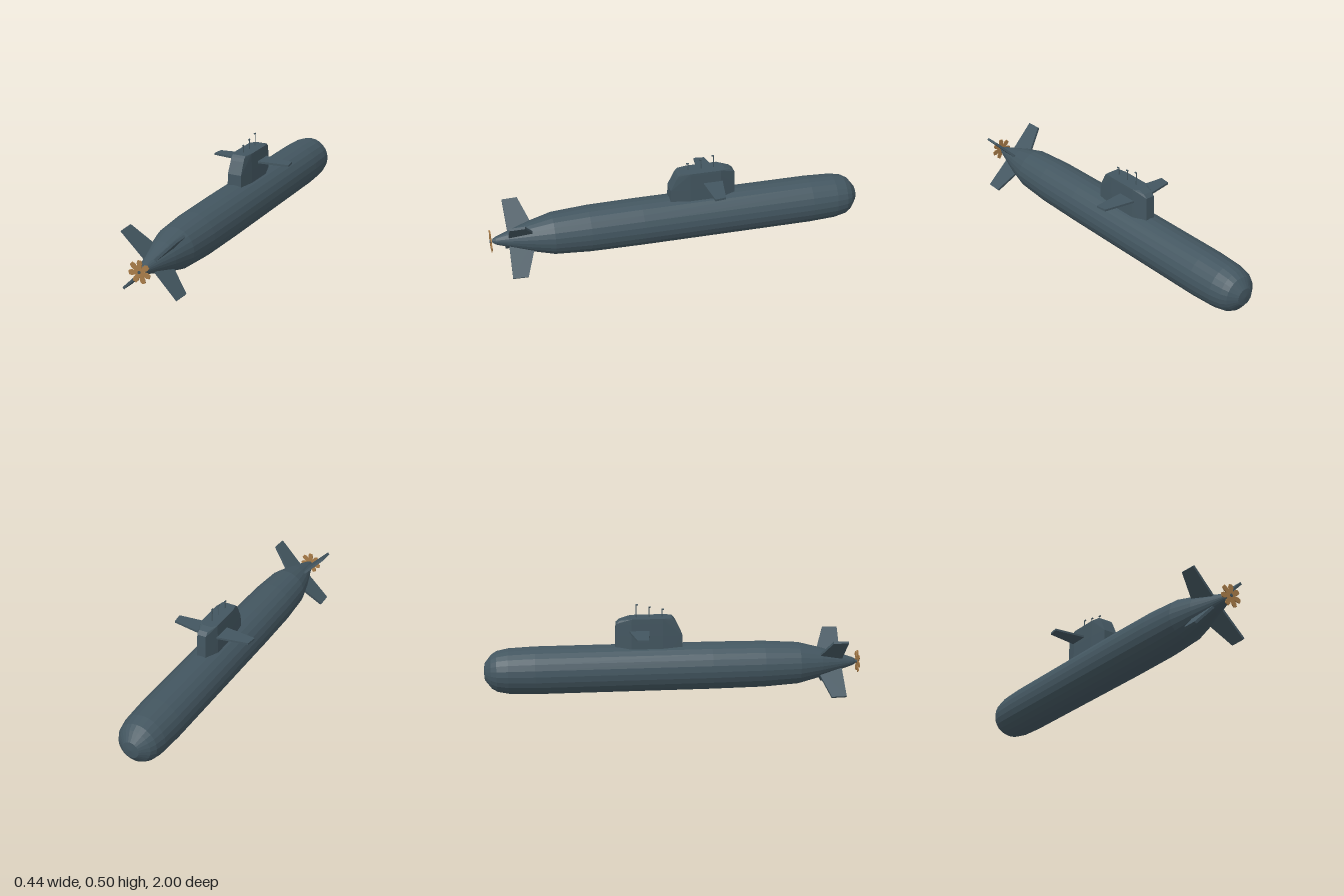
import * as THREE from 'three';
import { ConvexGeometry } from 'three/addons/geometries/ConvexGeometry.js';

const AXIS_Y = 0.157; // height of the hull's centre line

export function createModel() {
  const model = new THREE.Group();
  model.name = 'submarine';
  const steel = new THREE.MeshStandardMaterial({ name: 'blue grey steel', color: 0x435660, flatShading: true });
  const brass = new THREE.MeshStandardMaterial({ name: 'brass', color: 0xa87c48, flatShading: true });

  function add(name, geometry, material, x = 0, y = 0, z = 0, parent = model) {
    const mesh = new THREE.Mesh(geometry, material);
    mesh.name = name;
    mesh.position.set(x, y, z);
    parent.add(mesh);
    return mesh;
  }

  // Flat plate from [span, z] outline points, lying in the xz plane
  function plate(points, thickness) {
    const shape = new THREE.Shape(points.map(([x, z]) => new THREE.Vector2(x, z)));
    const geometry = new THREE.ExtrudeGeometry(shape, { depth: thickness, bevelEnabled: false });
    return geometry.translate(0, 0, -thickness / 2).rotateX(Math.PI / 2);
  }

  // Hull: [radius, z] from the blunt bow to the tapered stern
  const profile = [
    [0, -1], [0.045, -0.995], [0.09, -0.96], [0.108, -0.93], [0.12, -0.87], [0.126, -0.73],
    [0.126, 0.2], [0.123, 0.48], [0.111, 0.67], [0.08, 0.79], [0.047, 0.89], [0.021, 0.968], [0.012, 0.982], [0, 0.984],
  ].map(([r, z]) => new THREE.Vector2(r, z));
  add('hull', new THREE.LatheGeometry(profile, 24).rotateX(Math.PI / 2), steel, 0, AXIS_Y);

  // Sail: tapered plan rings, [y, stern z, bow z, half width]
  const sailPoints = [];
  for (const [y, stern, bow, w] of [
    [0.2, 0.045, -0.312, 0.052], [0.34, 0.043, -0.308, 0.0505], [0.405, 0.012, -0.305, 0.049],
    [0.422, 0.002, -0.285, 0.0485], [0.433, -0.01, -0.25, 0.048],
  ]) {
    for (const s of [-1, 1]) {
      sailPoints.push(
        new THREE.Vector3(s * w * 0.77, y, stern),
        new THREE.Vector3(s * w, y, -0.06),
        new THREE.Vector3(s * w, y, -0.225),
        new THREE.Vector3(s * w * 0.5, y, bow),
      );
    }
  }
  add('sail', new ConvexGeometry(sailPoints), steel);

  // Diving planes on the sail
  const planeGeometry = plate([[0.02, -0.237], [0.05, -0.235], [0.215, -0.206], [0.222, -0.148], [0.05, -0.13], [0.02, -0.127]], 0.011);
  for (const [name, turn] of [['leftDivingPlane', 0], ['rightDivingPlane', Math.PI]]) {
    add(name, planeGeometry, steel, 0, 0.365).rotation.z = turn;
  }

  // Four stern fins in an X
  const finGeometry = plate([[0.01, 0.765], [0.09, 0.783], [0.214, 0.828], [0.212, 0.908], [0.01, 0.902]], 0.013);
  for (let i = 0; i < 4; i++) {
    add('sternFin' + (i + 1), finGeometry, steel, 0, AXIS_Y).rotation.z = Math.PI / 4 + i * Math.PI / 2;
  }

  // Masts with a small head bent towards the stern
  for (const [z, top] of [[-0.06, 0.474], [-0.13, 0.488], [-0.197, 0.502]]) {
    const mast = new THREE.Group();
    mast.name = 'mast';
    model.add(mast);
    add('mastPole', new THREE.CylinderGeometry(0.0025, 0.0025, top - 0.42, 8), steel, 0, (top + 0.42) / 2, z, mast);
    add('mastHead', new THREE.CylinderGeometry(0.004, 0.004, 0.013, 8).rotateX(Math.PI / 2), steel, 0, top - 0.002, z + 0.004, mast);
  }

  // Propeller: shaft, hub and seven flared blades
  const propeller = new THREE.Group();
  propeller.name = 'propeller';
  propeller.position.set(0, AXIS_Y, 0.994);
  model.add(propeller);
  add('shaft', new THREE.CylinderGeometry(0.008, 0.008, 0.036, 12).rotateX(Math.PI / 2), steel, 0, 0, -0.012, propeller);
  add('hub', new THREE.CylinderGeometry(0.022, 0.022, 0.005, 14).rotateX(Math.PI / 2), brass, 0, 0, 0, propeller);
  const blade = new THREE.Shape([
    [-0.008, 0.01], [0.008, 0.01], [0.011, 0.024], [0.0145, 0.044], [0.0095, 0.059],
    [-0.0095, 0.059], [-0.0145, 0.044], [-0.011, 0.024],
  ].map(([x, y]) => new THREE.Vector2(x, y)));
  const bladeGeometry = new THREE.ExtrudeGeometry(blade, { depth: 0.005, bevelEnabled: false }).translate(0, 0, -0.0025);
  for (let i = 0; i < 7; i++) {
    add('blade' + (i + 1), bladeGeometry, brass, 0, 0, 0, propeller).rotation.z = -0.04 + i * Math.PI * 2 / 7;
  }
  return model;
}
